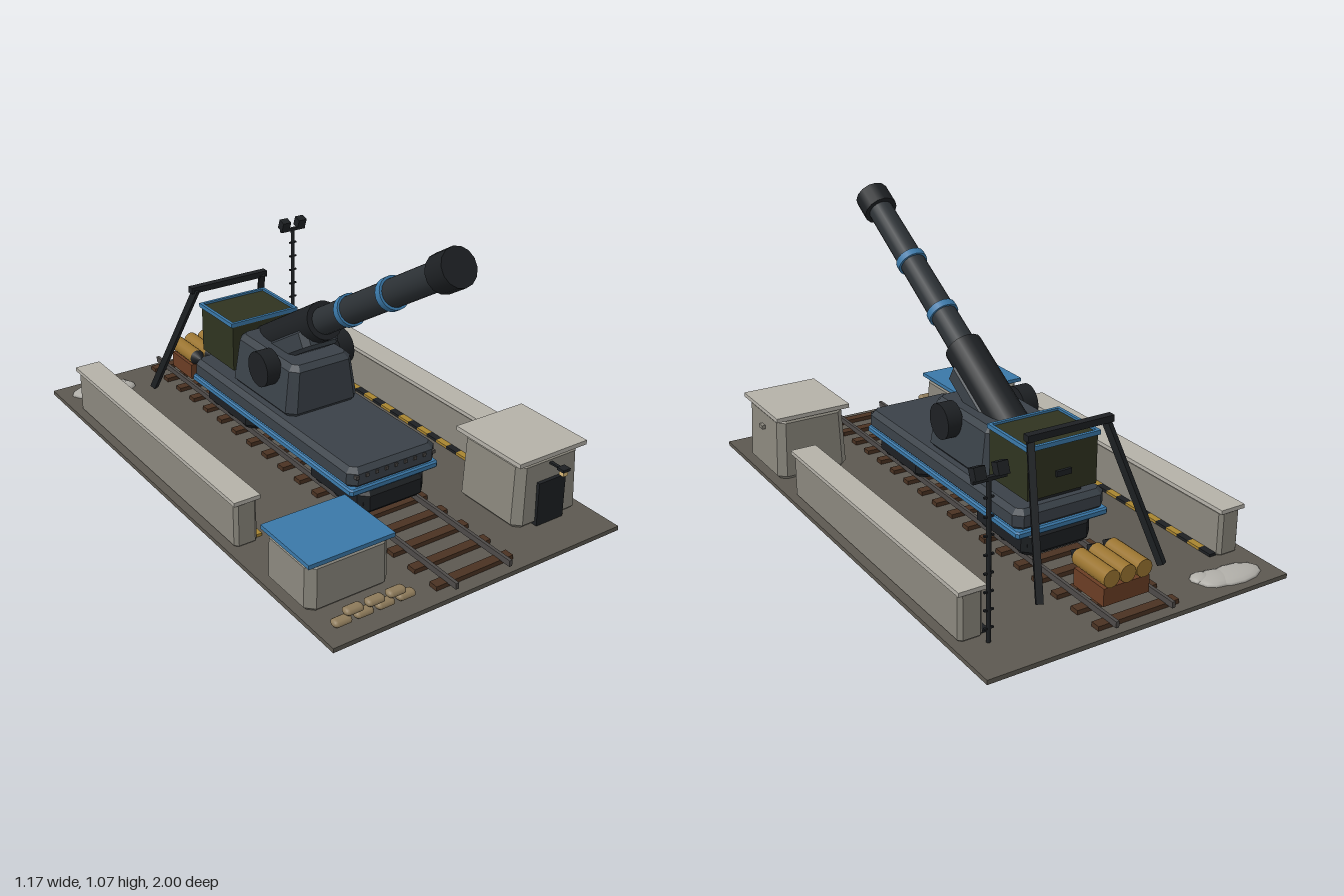
import * as THREE from 'three';

const COLORS = {
  ground: 0x5c5850, concrete: 0x8a877d, cap: 0xb4b1a8, steel: 0x3a4148, dark: 0x1d2023, gun: 0x2c3135,
  blue: 0x3a78a8, green: 0x2f3320, brass: 0x9a7430, wood: 0x4a3222, rust: 0x6a3d24, sand: 0x8d7a5a, rail: 0x4d4a48,
  yellow: 0xa88430, rubble: 0xb0aea8, lamp: 0xd8b878,
};
const materials = {};
const mat = (c) => (materials[c] ??= new THREE.MeshStandardMaterial({ color: COLORS[c] }));

function add(parent, name, geometry, color, x = 0, y = 0, z = 0) {
  const mesh = new THREE.Mesh(geometry, mat(color));
  mesh.name = name;
  mesh.position.set(x, y, z);
  parent.add(mesh);
  return mesh;
}

// Box given by its extents
function box(parent, name, color, [x0, x1], [y0, y1], [z0, z1]) {
  return add(parent, name, new THREE.BoxGeometry(x1 - x0, y1 - y0, z1 - z0), color,
    (x0 + x1) / 2, (y0 + y1) / 2, (z0 + z1) / 2);
}

// Box with chamfered edges that narrows to a fraction of its width and depth at the top
function chamferBox(parent, name, color, [x0, x1], [y0, y1], [z0, z1], bevel = 0.015, topX = 1, topZ = 1) {
  const a = (x1 - x0) / 2 - bevel, b = (z1 - z0) / 2 - bevel, c = bevel, h = y1 - y0;
  const shape = new THREE.Shape([[a - c, -b], [a, c - b], [a, b - c], [a - c, b], [c - a, b], [-a, b - c], [-a, c - b], [c - a, -b]]
    .map(([x, y]) => new THREE.Vector2(x, y)));
  const g = new THREE.ExtrudeGeometry(shape, { depth: h - 2 * c, bevelSize: c, bevelThickness: c, bevelSegments: 1 });
  g.rotateX(-Math.PI / 2).translate(0, c, 0);
  const p = g.attributes.position;
  for (let i = 0; i < p.count; i++) {
    const t = p.getY(i) / h;
    p.setX(i, p.getX(i) * (1 + (topX - 1) * t));
    p.setZ(i, p.getZ(i) * (1 + (topZ - 1) * t));
  }
  g.computeVertexNormals();
  return add(parent, name, g, color, (x0 + x1) / 2, y0, (z0 + z1) / 2);
}

// Cylinder along z from z0 to z1
function tubeZ(parent, name, color, r0, r1, z0, z1, x = 0, y = 0, sides = 20) {
  const g = new THREE.CylinderGeometry(r1, r0, z1 - z0, sides).rotateX(Math.PI / 2);
  return add(parent, name, g, color, x, y, (z0 + z1) / 2);
}

// Square bar between two points
function bar(parent, name, color, from, to, size) {
  const a = new THREE.Vector3(...from), b = new THREE.Vector3(...to);
  const m = add(parent, name, new THREE.BoxGeometry(size, size, a.distanceTo(b)), color);
  m.position.copy(a).add(b).multiplyScalar(0.5);
  m.lookAt(b);
  return m;
}

function group(parent, name) {
  const g = new THREE.Group();
  g.name = name;
  parent.add(g);
  return g;
}

function buildTrack(root) {
  const track = group(root, 'track');
  for (let i = 0; i < 18; i++) {
    const z = 0.93 - i * 0.11;
    box(track, 'sleeper', 'wood', [-0.158, 0.158], [0.015, 0.032], [z - 0.018, z + 0.018]);
  }
  for (const s of [-1, 1]) box(track, 'rail', 'rail', [s * 0.11 - 0.006, s * 0.11 + 0.006], [0.03, 0.052], [-0.99, 0.99]);
}

function buildWalls(root) {
  for (const s of [-1, 1]) {
    const wall = group(root, 'sideWall');
    const span = (a, b) => (s > 0 ? [a, b] : [-b, -a]);
    chamferBox(wall, 'wallBody', 'concrete', span(0.468, 0.555), [0.014, 0.182], [-0.795, 0.4], 0.008);
    box(wall, 'wallCap', 'cap', span(0.462, 0.562), [0.18, 0.195], [-0.803, 0.408]);
    for (let i = 0; i < 20; i++) {
      const z = -0.78 + i * 0.058;
      box(wall, 'hazardStripe', i % 2 ? 'yellow' : 'dark', span(0.442, 0.47), [0.014, 0.026], [z, z + 0.058]);
    }
  }
}

function buildShelters(root) {
  // Low store with a blue lid
  const store = group(root, 'store');
  chamferBox(store, 'storeBody', 'concrete', [-0.56, -0.246], [0.014, 0.192], [0.578, 0.835], 0.018, 0.98, 0.98);
  box(store, 'storeLid', 'blue', [-0.565, -0.243], [0.19, 0.205], [0.572, 0.842]);

  // Sandbags stacked four and three
  const bags = group(root, 'sandbags');
  for (let row = 0; row < 2; row++) for (let i = 0; i < 4 - row; i++) {
    const g = new THREE.CapsuleGeometry(0.014, 0.04, 5, 10).rotateZ(Math.PI / 2).scale(1, 0.9, 1.5);
    add(bags, 'sandbag', g, 'sand', -0.5 + row * 0.042 + i * 0.08, 0.031 + row * 0.026, 0.92);
  }

  // Guard bunker with door and lamp
  const bunker = group(root, 'bunker');
  chamferBox(bunker, 'bunkerBody', 'concrete', [0.27, 0.56], [0.014, 0.266], [0.528, 0.838], 0.018, 0.93, 0.96);
  box(bunker, 'bunkerRoof', 'cap', [0.264, 0.564], [0.264, 0.28], [0.52, 0.843]);
  box(bunker, 'door', 'dark', [0.354, 0.474], [0.016, 0.18], [0.82, 0.847]);
  box(bunker, 'lampArm', 'dark', [0.407, 0.419], [0.234, 0.241], [0.82, 0.9]);
  box(bunker, 'lampHood', 'dark', [0.397, 0.429], [0.236, 0.246], [0.878, 0.908]);
  box(bunker, 'lampBulb', 'lamp', [0.403, 0.423], [0.218, 0.237], [0.883, 0.903]);
  box(bunker, 'sideVent', 'concrete', [0.535, 0.566], [0.185, 0.2], [0.67, 0.7]);
}

function buildRailcar(root) {
  const car = group(root, 'railcar');
  for (const s of [-1, 1]) {
    chamferBox(car, 'bogie', 'dark', [-0.14, 0.14], [0.052, 0.148], [s * 0.36 - 0.17, s * 0.36 + 0.17], 0.02);
    for (const x of [-0.11, 0.11]) for (const dz of [-0.11, 0, 0.11]) {
      const wheel = new THREE.CylinderGeometry(0.045, 0.045, 0.03, 16).rotateZ(Math.PI / 2);
      add(car, 'wheel', wheel, 'dark', x, 0.096, s * 0.36 + dz);
    }
  }
  box(car, 'centreBeam', 'dark', [-0.09, 0.09], [0.09, 0.15], [-0.35, 0.35]);
  chamferBox(car, 'blueBand', 'blue', [-0.186, 0.186], [0.145, 0.172], [-0.545, 0.527], 0.006);
  chamferBox(car, 'deck', 'steel', [-0.184, 0.184], [0.165, 0.243], [-0.54, 0.525], 0.018);
  for (let i = 0; i < 9; i++) box(car, 'rivet', 'rail', [-0.166 + i * 0.04, -0.154 + i * 0.04], [0.209, 0.221], [0.51, 0.53]);

  // Gun housing with trunnion drums
  chamferBox(car, 'gunHousing', 'steel', [-0.157, 0.157], [0.238, 0.432], [-0.302, 0.112], 0.02, 0.82, 0.94);
  for (const s of [-1, 1]) {
    const drum = new THREE.CylinderGeometry(0.066, 0.066, 0.06, 20).rotateZ(Math.PI / 2);
    add(car, 'trunnionDrum', drum, 'dark', s * 0.158, 0.39, -0.045);
  }

  // Ammunition locker with blue rim
  const locker = group(car, 'locker');
  box(locker, 'lockerBody', 'green', [-0.139, 0.139], [0.27, 0.456], [-0.532, -0.3]);
  box(locker, 'lockerFoot', 'dark', [-0.1, 0.1], [0.24, 0.272], [-0.5, -0.3]);
  for (const s of [-1, 1]) box(locker, 'sideRim', 'blue', [s * 0.14 - 0.006, s * 0.14 + 0.006], [0.448, 0.464], [-0.54, -0.296]);
  for (const z of [-0.534, -0.302]) box(locker, 'endRim', 'blue', [-0.146, 0.146], [0.448, 0.464], [z - 0.006, z + 0.006]);
  box(locker, 'latch', 'dark', [-0.03, 0.03], [0.335, 0.355], [-0.542, -0.53]);
}

function buildGun(root) {
  const gun = group(root, 'gun');
  gun.position.set(0, 0.5, -0.045);
  gun.rotation.x = -0.547;
  tubeZ(gun, 'barrel', 'gun', 0.051, 0.048, 0.1, 0.93);
  tubeZ(gun, 'sleeve', 'dark', 0.071, 0.071, -0.31, 0.17);
  chamferBox(gun, 'cradle', 'steel', [-0.076, 0.076], [-0.085, 0], [-0.28, 0.12], 0.014);
  tubeZ(gun, 'muzzle', 'dark', 0.066, 0.066, 0.897, 0.985, 0, 0, 14);
  for (const z of [0.345, 0.614]) tubeZ(gun, 'barrelBand', 'blue', 0.058, 0.058, z - 0.014, z + 0.014);
}

function buildYard(root) {
  // Loading gantry
  const gantry = group(root, 'gantry');
  for (const s of [-1, 1]) bar(gantry, 'gantryLeg', 'dark', [s * 0.148, 0.515, -0.555], [s * 0.245, 0.04, -0.765], 0.024);
  box(gantry, 'gantryBeam', 'dark', [-0.17, 0.17], [0.502, 0.526], [-0.578, -0.55]);

  // Shells on a cart
  const cart = group(root, 'shellCart');
  box(cart, 'cartBody', 'rust', [-0.09, 0.09], [0.045, 0.108], [-0.89, -0.73]);
  for (const x of [-0.064, 0, 0.064]) {
    tubeZ(cart, 'shell', 'brass', 0.031, 0.031, -0.895, -0.725, x, 0.139, 16);
    tubeZ(cart, 'shellNose', 'dark', 0.031, 0.004, -0.725, -0.68, x, 0.139, 16);
  }

  // Floodlight mast
  const mast = group(root, 'floodlightMast');
  add(mast, 'pole', new THREE.CylinderGeometry(0.008, 0.008, 0.545, 10), 'dark', 0.474, 0.287, -0.83);
  for (let i = 0; i < 8; i++) box(mast, 'rung', 'dark', [0.457, 0.491], [0.061 + i * 0.062, 0.067 + i * 0.062], [-0.834, -0.826]);
  box(mast, 'crossbar', 'dark', [0.416, 0.532], [0.552, 0.564], [-0.837, -0.823]);
  for (const x of [0.435, 0.513]) {
    box(mast, 'floodlight', 'dark', [x - 0.019, x + 0.019], [0.562, 0.603], [-0.848, -0.815]).rotation.x = 0.35;
  }

  // Flattened rubble heap
  const heap = group(root, 'rubble');
  for (const [x, z, rx, rz] of [[-0.43, -0.91, 0.11, 0.06], [-0.36, -0.9, 0.07, 0.055], [-0.32, -0.875, 0.04, 0.035]]) {
    add(heap, 'rubbleMound', new THREE.SphereGeometry(1, 12, 8).scale(rx, 0.018, rz), 'rubble', x, 0.016, z);
  }
}

export function createModel() {
  const root = new THREE.Group();
  root.name = 'railwayGunEmplacement';
  box(root, 'base', 'ground', [-0.585, 0.585], [0, 0.016], [-1, 1]);
  buildTrack(root);
  buildWalls(root);
  buildShelters(root);
  buildRailcar(root);
  buildGun(root);
  buildYard(root);
  return root;
}
